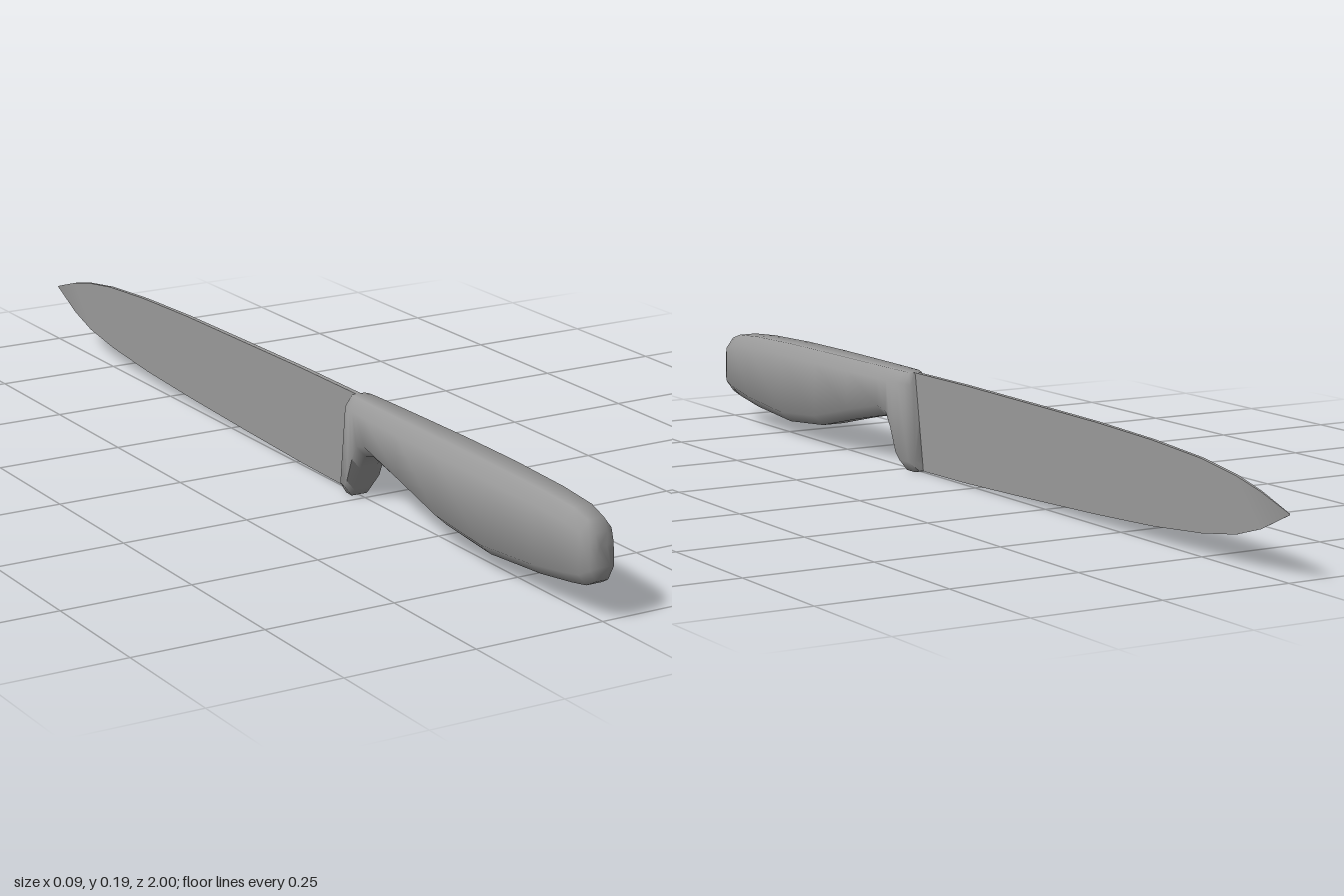
import * as THREE from 'three';
import { toCreasedNormals } from 'three/addons/utils/BufferGeometryUtils.js';

// Skin closed rings (counter-clockwise seen from +z, running from +z to -z) and cap both ends
function loft(rings, crease) {
  const n = rings[0].length;
  const index = [];
  for (let i = 0; i < rings.length - 1; i++) {
    for (let j = 0; j < n; j++) {
      const a = i * n + j, b = i * n + (j + 1) % n;
      index.push(a, a + n, b, b, a + n, b + n);
    }
  }
  const last = (rings.length - 1) * n;
  for (let j = 1; j < n - 1; j++) {
    index.push(0, j, j + 1, last, last + j + 1, last + j);
  }
  const geometry = new THREE.BufferGeometry();
  geometry.setAttribute('position', new THREE.Float32BufferAttribute(rings.flat(2), 3));
  geometry.setIndex(index);
  return toCreasedNormals(geometry, crease);
}

// Chamfered oblong ring, leaning between a top and a bottom point
function handleRing([zTop, yTop, zBottom, yBottom, w]) {
  const inner = w * 0.5;
  const c = Math.min(0.021, (yTop - yBottom) * 0.25) / (yTop - yBottom);
  const at = (x, t) => [x, THREE.MathUtils.lerp(yBottom, yTop, t), THREE.MathUtils.lerp(zBottom, zTop, t)];
  return [
    at(w, c), at(w, 1 - c), at(inner, 1), at(-inner, 1),
    at(-w, 1 - c), at(-w, c), at(-inner, 0), at(inner, 0),
  ];
}

// Wedge ring: thick spine, thin cutting edge
function bladeRing([zTop, yTop, zBottom, yBottom, w]) {
  const e = w * 0.15;
  return [[e, yBottom, zBottom], [w, yTop, zTop], [-w, yTop, zTop], [-e, yBottom, zBottom]];
}

export function createModel() {
  const model = new THREE.Group();
  const material = new THREE.MeshStandardMaterial({ color: 0x9a9a9a });
  const add = (name, geometry) => {
    const mesh = new THREE.Mesh(geometry, material);
    mesh.name = name;
    model.add(mesh);
  };

  // Handle from butt to bolster: zTop, yTop, zBottom, yBottom, half width
  add('handle', loft([
    [0.997, 0.132, 1.0, 0.082, 0.013],
    [0.99, 0.153, 0.995, 0.07, 0.024],
    [0.973, 0.172, 0.973, 0.058, 0.032],
    [0.935, 0.183, 0.935, 0.052, 0.037],
    [0.85, 0.189, 0.85, 0.041, 0.042],
    [0.7, 0.193, 0.7, 0.031, 0.046],
    [0.55, 0.194, 0.56, 0.043, 0.046],
    [0.42, 0.194, 0.43, 0.073, 0.043],
    [0.31, 0.194, 0.31, 0.098, 0.039],
    [0.275, 0.194, 0.28, 0.091, 0.037],
    [0.262, 0.194, 0.262, 0.062, 0.036],
    [0.25, 0.194, 0.242, 0.015, 0.035],
    [0.24, 0.194, 0.23, 0.001, 0.033],
    [0.225, 0.193, 0.205, 0.0, 0.027],
    [0.217, 0.19, 0.194, 0.003, 0.018],
  ].map(handleRing), 1.1));

  // Blade from bolster to tip
  add('blade', loft([
    [0.225, 0.193, 0.205, 0.002, 0.005],
    [0.03, 0.193, 0.03, 0.004, 0.005],
    [-0.2, 0.19, -0.2, 0.011, 0.005],
    [-0.42, 0.187, -0.42, 0.019, 0.0045],
    [-0.6, 0.181, -0.6, 0.028, 0.004],
    [-0.75, 0.171, -0.75, 0.041, 0.0035],
    [-0.85, 0.157, -0.85, 0.056, 0.003],
    [-0.92, 0.141, -0.92, 0.077, 0.002],
    [-1.0, 0.116, -1.0, 0.114, 0.0005],
  ].map(bladeRing), 0.6));

  return model;
}
